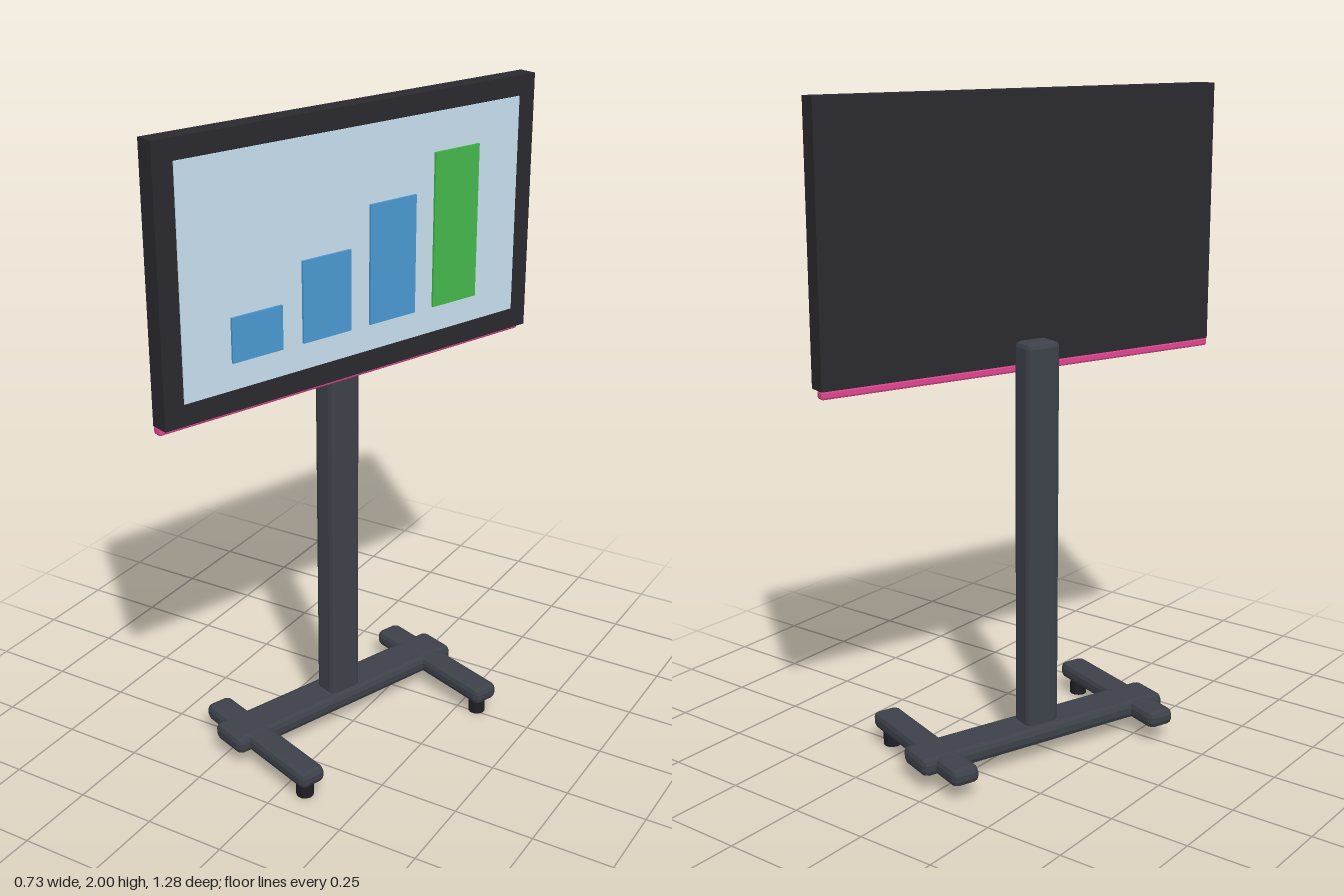
import * as THREE from 'three';
import { RoundedBoxGeometry } from 'three/addons/geometries/RoundedBoxGeometry.js';

const paint = (color) => new THREE.MeshStandardMaterial({ color, flatShading: true });
const steel = paint(0x3d4149);
const casing = paint(0x2a2a2f);
const rubber = paint(0x1e1f23);
const glass = paint(0xc8e0f0);
const blue = paint(0x4a9ad4);
const green = paint(0x45b84c);
const pink = paint(0xe0468f);

export function createModel() {
  const model = new THREE.Group();
  const stand = new THREE.Group();
  stand.name = 'displayStand';
  stand.rotation.y = THREE.MathUtils.degToRad(70);
  model.add(stand);

  const add = (name, geometry, material, x, y, z) => {
    const mesh = new THREE.Mesh(geometry, material);
    mesh.name = name;
    mesh.position.set(x, y, z);
    stand.add(mesh);
  };
  // Box given by its ranges along x, y and z; a radius softens its edges
  const box = (name, material, [x0, x1], [y0, y1], [z0, z1], radius = 0) => {
    const size = [x1 - x0, y1 - y0, z1 - z0];
    const geometry = radius
      ? new RoundedBoxGeometry(...size, 1, radius)
      : new THREE.BoxGeometry(...size);
    add(name, geometry, material, (x0 + x1) / 2, (y0 + y1) / 2, (z0 + z1) / 2);
  };

  // Display panel, screen and the accent strip under its rear edge
  box('panel', casing, [-0.67, 0.67], [1.215, 2], [-0.03, 0.029]);
  box('screen', glass, [-0.607, 0.607], [1.28, 1.94], [0.02, 0.032]);
  box('accentStrip', pink, [-0.67, 0.67], [1.192, 1.217], [-0.031, 0], 0.006);

  // Bar chart on the screen
  [1.49, 1.6, 1.715, 1.825].forEach((top, i) => {
    const x = -0.365 + i * 0.2415;
    box('chartBar' + (i + 1), i === 3 ? green : blue,
      [x - 0.085, x + 0.085], [1.36, top], [0.03, 0.039]);
  });

  // Post behind the panel
  box('post', steel, [-0.056, 0.056], [0.09, 1.29], [-0.116, -0.033], 0.016);

  // Crossbar, with a foot and a front caster at each end
  box('crossbar', steel, [-0.437, 0.437], [0.05, 0.105], [-0.146, -0.012], 0.018);
  for (const [side, s] of [['left', 1], ['right', -1]]) {
    const x = s * 0.354;
    box(side + 'Foot', steel, [x - 0.044, x + 0.044], [0.051, 0.104], [-0.25, 0.25], 0.018);
    add(side + 'Caster', new THREE.CylinderGeometry(0.027, 0.027, 0.06, 12), rubber, x, 0.03, 0.204);
  }
  return model;
}
